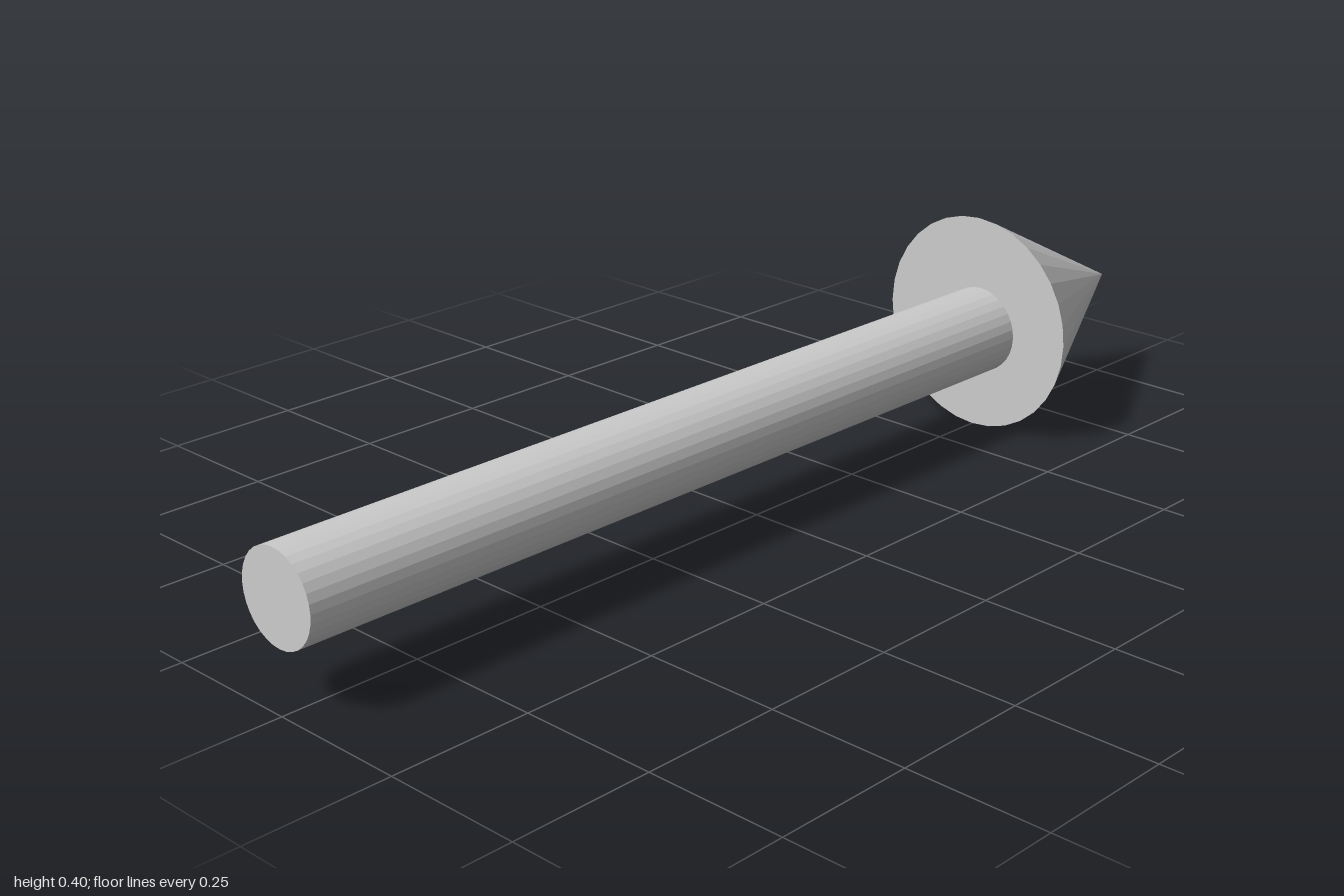
import * as THREE from 'three';

const SIDES = 32;
const HEAD_RADIUS = 0.202;
const HEAD_BASE_Z = -0.597;
const TIP_Z = -1;
const TAIL_Z = 1;

export function createModel() {
  const model = new THREE.Group();
  model.name = 'arrow';
  const material = new THREE.MeshStandardMaterial({ color: 0xcccccc, flatShading: true });

  // Lays a round part along z, its top end pointing to -z
  const addPart = (name, geometry, x, y, zFrom, zTo) => {
    geometry.rotateX(-Math.PI / 2);
    const mesh = new THREE.Mesh(geometry, material);
    mesh.name = name;
    mesh.position.set(x, y, (zFrom + zTo) / 2);
    model.add(mesh);
  };

  // Shaft, slightly off the head's axis
  addPart('shaft', new THREE.CylinderGeometry(0.08, 0.08, TAIL_Z - HEAD_BASE_Z, SIDES),
    0.008, 0.191, TAIL_Z, HEAD_BASE_Z);

  // Pointed head with a flat base
  addPart('arrowHead', new THREE.ConeGeometry(HEAD_RADIUS, HEAD_BASE_Z - TIP_Z, SIDES),
    0, HEAD_RADIUS, HEAD_BASE_Z, TIP_Z);

  return model;
}
